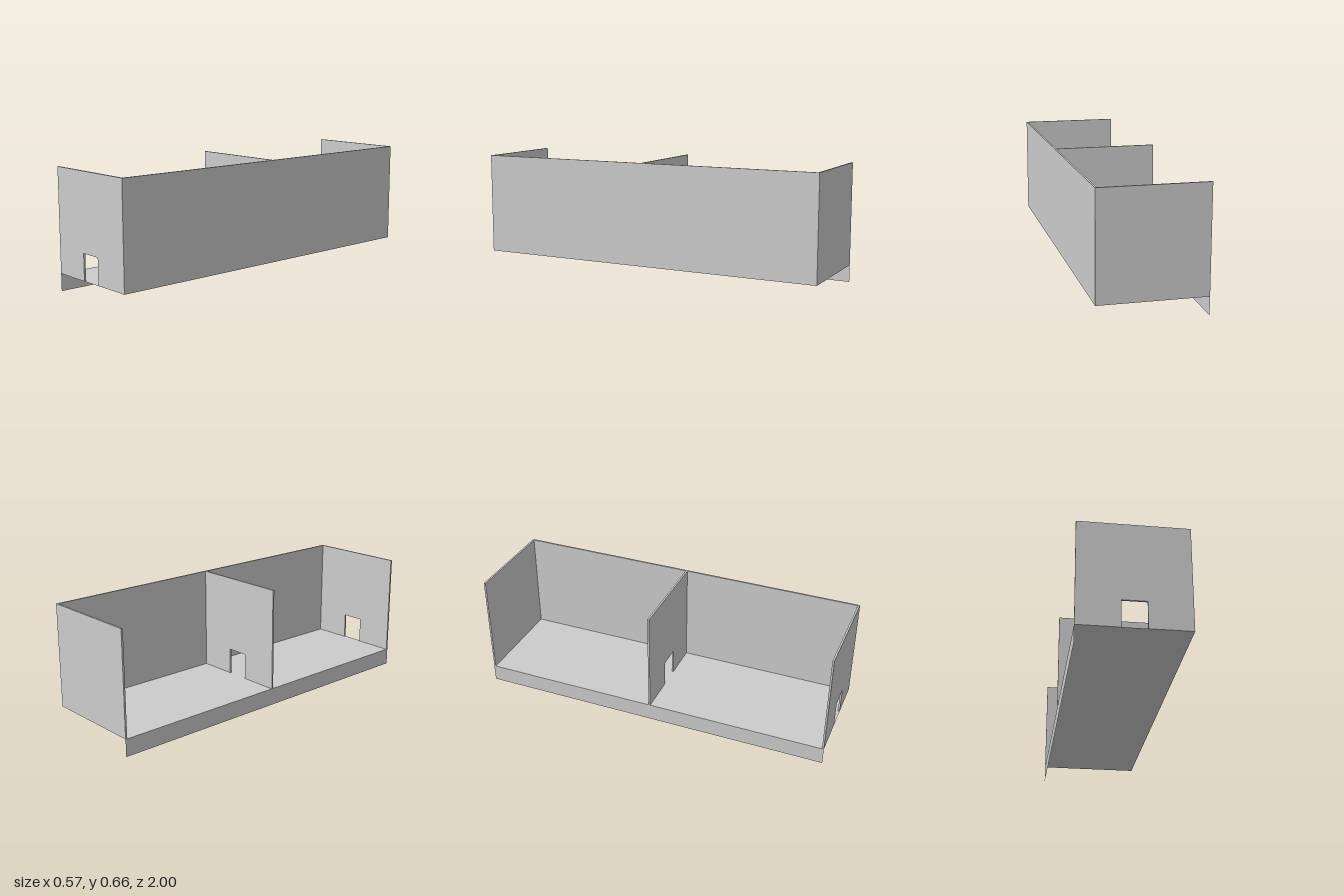
import * as THREE from 'three';

const W = 0.567, L = 2, FLOOR = 0.095, TOP = 0.662, T = 0.01;
const DOOR_W = 0.126, DOOR_TOP = 0.24;

const material = new THREE.MeshStandardMaterial({ color: 0xcccccc, flatShading: true, side: THREE.DoubleSide });

function add(group, name, geometry, x, y, z) {
  const mesh = new THREE.Mesh(geometry, material);
  mesh.name = name;
  mesh.position.set(x, y, z);
  group.add(mesh);
  return mesh;
}

// Cross wall, optionally notched by a doorway at floor level
function crossWall(hasDoor) {
  const h = W / 2, d = DOOR_W / 2;
  const door = hasDoor ? [[-d, FLOOR], [-d, DOOR_TOP], [d, DOOR_TOP], [d, FLOOR]] : [];
  const outline = [[-h, FLOOR], ...door, [h, FLOOR], [h, TOP], [-h, TOP]];
  const shape = new THREE.Shape(outline.map(([x, y]) => new THREE.Vector2(x, y)));
  return new THREE.ExtrudeGeometry(shape, { depth: T, bevelEnabled: false });
}

export function createModel() {
  const group = new THREE.Group();
  group.name = 'openRooms';

  // Thin floor sheet
  const floor = add(group, 'floor', new THREE.PlaneGeometry(W, L), 0, FLOOR, 0);
  floor.rotation.x = -Math.PI / 2;

  // Skirt hanging below the open side
  const skirt = add(group, 'skirt', new THREE.PlaneGeometry(L, FLOOR), -W / 2, FLOOR / 2, 0);
  skirt.rotation.y = -Math.PI / 2;

  // Long closed side
  add(group, 'sideWall', new THREE.BoxGeometry(T, TOP - FLOOR, L), W / 2 - T / 2, (TOP + FLOOR) / 2, 0);

  // Front and middle walls have doorways, the back wall is solid
  add(group, 'frontWall', crossWall(true), 0, 0, L / 2 - T);
  add(group, 'middleWall', crossWall(true), 0, 0, -T / 2);
  add(group, 'backWall', crossWall(false), 0, 0, -L / 2);

  return group;
}
